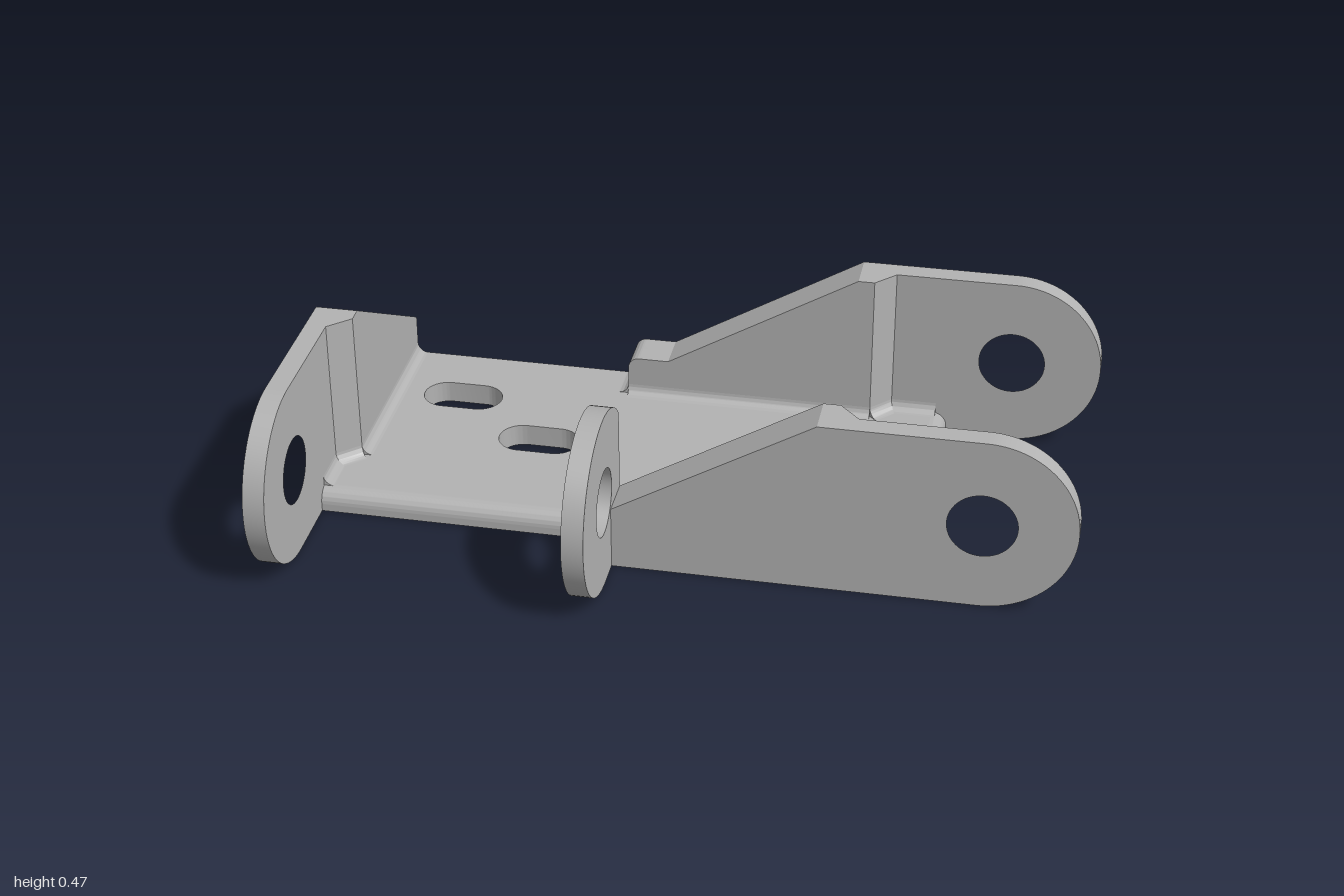
import * as THREE from 'three';
import { toCreasedNormals } from 'three/addons/utils/BufferGeometryUtils.js';

const H = 0.47, R = H / 2, HOLE = 0.087, T = 0.055, FLOOR = 0.06;
const steel = new THREE.MeshStandardMaterial({ color: 0xb2b2b2 });
steel.name = 'grey steel';

const extrude = (shape, depth) =>
  new THREE.ExtrudeGeometry(shape, { depth, bevelEnabled: false, curveSegments: 24 });

// Bakes a placement, keeping corner order right for mirrored parts, and smooths the curves
function addPart(group, name, geo, matrix) {
  geo = geo.index ? geo.toNonIndexed() : geo;
  geo.applyMatrix4(matrix);
  if (matrix.determinant() < 0) {
    for (const attr of Object.values(geo.attributes)) {
      const n = attr.itemSize, a = attr.array;
      for (let i = 0; i < attr.count; i += 3)
        for (let k = 0; k < n; k++) {
          const p = (i + 1) * n + k, q = (i + 2) * n + k;
          [a[p], a[q]] = [a[q], a[p]];
        }
    }
  }
  geo.deleteAttribute('normal');
  geo.computeVertexNormals();
  const mesh = new THREE.Mesh(toCreasedNormals(geo, 0.5), steel);
  mesh.name = name;
  group.add(mesh);
}

function punchRound(shape, u, y) {
  shape.holes.push(new THREE.Path().absarc(u, y, HOLE, 0, Math.PI * 2, true));
}

// Side wall: thin plate with a round eye, and a thicker pad with a chamfered end
function addWall(group, name, eye, start, matrix, rounded) {
  const low = eye - 0.92, top = eye - 0.41, padEnd = eye - 0.315, lowY = 0.17;
  const begin = (s) => {
    s.moveTo(start, 0);
    if (rounded) {
      s.lineTo(start, lowY - 0.03);
      s.absarc(start + 0.03, lowY - 0.03, 0.03, Math.PI, Math.PI / 2, true);
    } else s.lineTo(start, lowY);
    if (start < low - 0.01) s.lineTo(low, lowY);
    s.lineTo(top, H);
    return s;
  };
  const plate = begin(new THREE.Shape());
  plate.lineTo(eye, H);
  plate.absarc(eye, R, R, Math.PI / 2, -Math.PI / 2, true);
  plate.closePath();
  punchRound(plate, eye, R);
  addPart(group, name, extrude(plate, T), matrix);

  const pad = begin(new THREE.Shape());
  pad.lineTo(padEnd, H).lineTo(padEnd, 0).closePath();
  const geo = extrude(pad, T), p = geo.attributes.position;
  for (let i = 0; i < p.count; i++)
    if (p.getZ(i) > T / 2 && p.getX(i) > padEnd - 0.001) p.setX(i, padEnd - 0.052);
  geo.translate(0, 0, T);
  addPart(group, name + 'Pad', geo, matrix);
}

// Sweeps a small section along the floor; its local x points right of the path seen from below
function addStrip(group, name, section, y, points) {
  for (let i = 0; i + 1 < points.length; i++) {
    const [ax, az] = points[i], [bx, bz] = points[i + 1];
    const m = new THREE.Matrix4().makeRotationY(Math.atan2(bx - ax, bz - az)).setPosition(ax, y, az);
    addPart(group, name, extrude(section, Math.hypot(bx - ax, bz - az)), m);
  }
}

export function createModel() {
  const model = new THREE.Group();
  model.name = 'hingeBracket';

  // Floor plate with four slots, drawn with y = -z and laid flat
  const floor = new THREE.Shape();
  [[-1, 0.575], [0.56, 0.575], [0.56, -0.25], [-0.2, -0.25], [-0.2, -0.125], [-1, -0.125]]
    .forEach(([x, y], i) => (i ? floor.lineTo(x, y) : floor.moveTo(x, y)));
  floor.closePath();
  const r = 0.062, half = 0.046;
  for (const [x, z, alongX] of [[-0.705, -0.365, 1], [-0.45, -0.185, 1], [0.24, -0.287, 0], [0.06, -0.028, 0]]) {
    const slot = new THREE.Path(), dx = alongX ? half : 0, dy = alongX ? 0 : half;
    const a = alongX ? -Math.PI / 2 : 0;
    slot.absarc(x + dx, -z + dy, r, a, a + Math.PI, false);
    slot.absarc(x - dx, -z - dy, r, a + Math.PI, a + 2 * Math.PI, false);
    slot.closePath();
    floor.holes.push(slot);
  }
  addPart(model, 'floorPlate', extrude(floor, FLOOR), new THREE.Matrix4().makeRotationX(-Math.PI / 2));

  // Three walls; the front and right ones are mirrored placements
  const alongZ = (x) => new THREE.Matrix4().set(0, 0, 1, x, 0, 1, 0, 0, 1, 0, 0, 0, 0, 0, 0, 1);
  addWall(model, 'rearWall', 0.765, -0.265, new THREE.Matrix4().makeTranslation(0, 0, -0.575), true);
  addWall(model, 'frontWall', 0.765, -0.2,
    new THREE.Matrix4().makeScale(1, 1, -1).setPosition(0, 0, 0.27), false);
  addWall(model, 'rightWall', 0.34, -0.575, alongZ(-1), false);

  // Short ear standing out from the front wall
  const ear = new THREE.Shape(), back = 0.16, c = 0.34;
  ear.moveTo(back, 0).lineTo(c, 0);
  ear.absarc(c, R, R, -Math.PI / 2, Math.PI - Math.acos((c - back) / R), false);
  ear.closePath();
  punchRound(ear, c, R);
  addPart(model, 'frontEar', extrude(ear, T), alongZ(-0.21));

  // Inside fillets where the walls meet the floor
  const f = 0.028;
  const fillet = new THREE.Shape();
  fillet.moveTo(0, 0).lineTo(f, 0);
  fillet.absarc(f, f, f, -Math.PI / 2, -Math.PI, true);
  fillet.closePath();
  addStrip(model, 'frontFillet', fillet, FLOOR, [[-0.2, 0.16], [0.398, 0.16], [0.45, 0.215], [0.57, 0.215]]);
  addStrip(model, 'rearFillet', fillet, FLOOR,
    [[0.57, -0.52], [0.45, -0.52], [0.398, -0.465], [-0.265, -0.465], [-0.265, -0.575]]);
  addStrip(model, 'rightFillet', fillet, FLOOR, [[-0.89, -0.575], [-0.89, -0.027], [-0.945, 0.025], [-0.945, 0.135]]);

  // Rounded free edges of the floor
  const e = 0.04;
  const edge = new THREE.Shape();
  edge.moveTo(0, 0).lineTo(e, 0).lineTo(e, FLOOR - e);
  edge.absarc(0, FLOOR - e, e, 0, Math.PI / 2, false);
  edge.closePath();
  addStrip(model, 'frontFloorEdge', edge, 0, [[-0.2, 0.125], [-0.96, 0.125]]);
  addStrip(model, 'leftFloorEdge', edge, 0, [[0.56, -0.54], [0.56, 0.24]]);

  return model;
}
